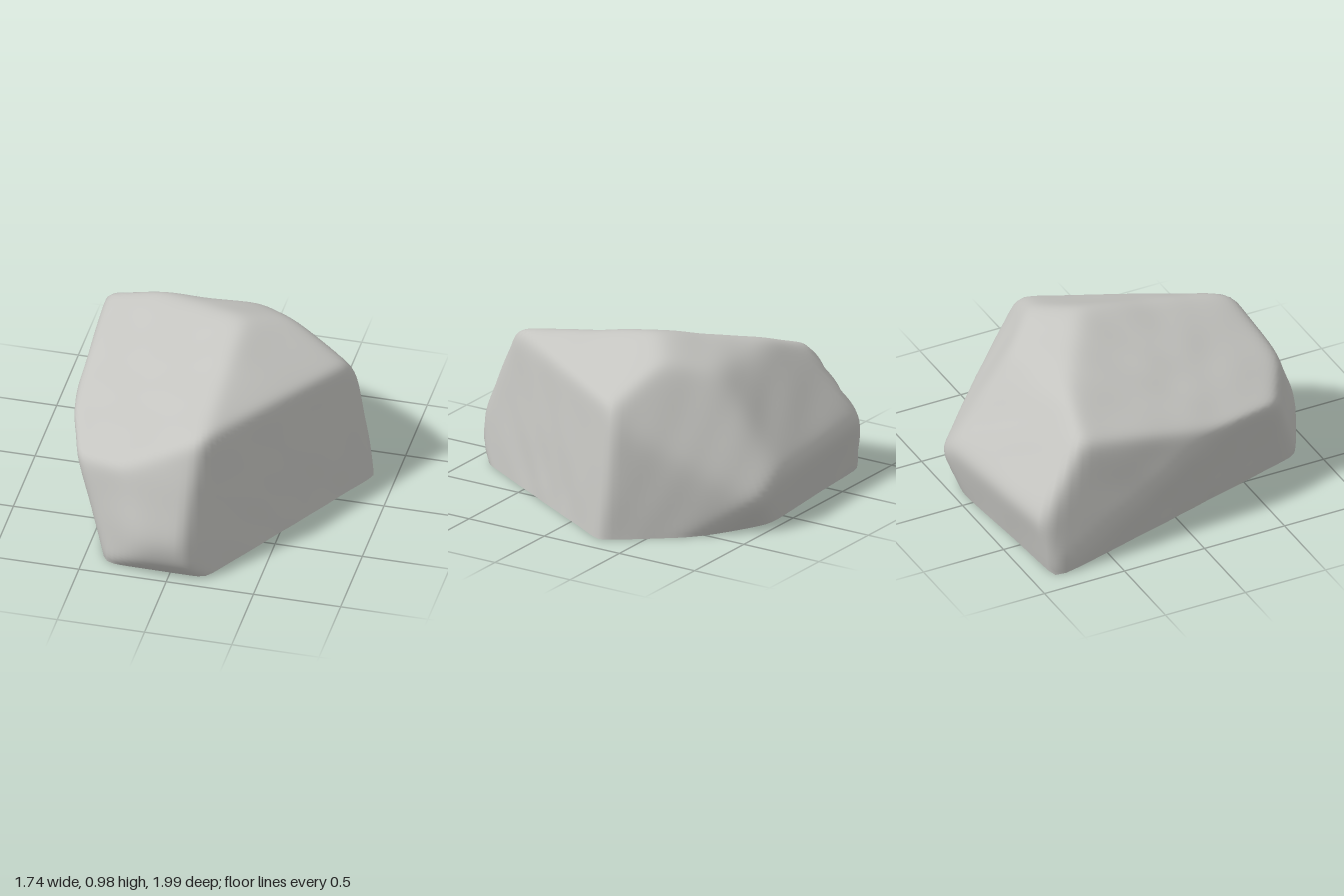
import * as THREE from 'three';
import { mergeVertices } from 'three/addons/utils/BufferGeometryUtils.js';

// Facets of the boulder: plane nx*x + ny*y + nz*z = d
const FACETS = [
  [0.87, 0.15, 0.5, 0.63],     // broad front cut on the +x side
  [-0.4, 1, 0.2, 0.91],        // sloping front top
  [0, 1, -0.4, 1.08],          // crown, falling to the back
  [0.45, 1, 0.2, 1.03],        // crown, falling to +x
  [-0.05, 0.74, -1, 1.22],     // back slope
  [-0.08, -0.2, -1, 0.935],    // lower back
  [0.55, 0.6, -0.8, 1.08],     // back corner, upper slope
  [0.8, 0.1, -0.61, 0.885],    // back corner, steep part
  [0.5, -0.6, -0.86, 0.895],   // back corner undercut
  [-1, 0.18, 0.05, 0.845],     // -x side
  [-1, -0.28, 0.29, 0.645],    // overhanging front cut on the -x side
  [-0.55, 0.15, 0.84, 0.965],  // rounded nose
  [0, 0.45, 1, 1.12],
  [0, -0.2, 1, 0.97],
  [0, -1, 1, 0.91],            // bevel under the nose
];
const SHARPNESS = 40;

// Distance from the centre of the base to the softened facets, with slight weathering
function radius(v) {
  let sum = 0;
  for (const [a, b, c, d] of FACETS) {
    const t = (a * v.x + b * v.y + c * v.z) / d;
    if (t > 0) sum += Math.pow(t, SHARPNESS);
  }
  const bumps = Math.sin(11 * v.x + 4 * v.y) * Math.sin(9 * v.y - 5 * v.z + 1) +
    0.6 * Math.sin(17 * v.z + 6 * v.x) * Math.sin(14 * v.y + 8 * v.x);
  return Math.pow(sum, -1 / SHARPNESS) * (1 + 0.003 * bumps);
}

// Push every direction of a unit shape out to the rock surface
function shapeRock(geometry) {
  const p = geometry.attributes.position;
  const v = new THREE.Vector3();
  for (let i = 0; i < p.count; i++) {
    v.fromBufferAttribute(p, i);
    if (v.length() < 0.5) continue; // centre of the underside stays put
    v.normalize();
    v.multiplyScalar(radius(v));
    p.setXYZ(i, v.x, v.y, v.z);
  }
  geometry.deleteAttribute('uv');
  geometry.deleteAttribute('normal');
  const merged = mergeVertices(geometry, 1e-5);
  merged.computeVertexNormals();
  return merged;
}

export function createModel() {
  const group = new THREE.Group();
  group.name = 'boulder';
  const stone = new THREE.MeshStandardMaterial({ color: 0xc4c4c0 });
  stone.name = 'grey stone';

  const dome = new THREE.SphereGeometry(1, 144, 72, 0, Math.PI * 2, 0, Math.PI / 2);
  const body = new THREE.Mesh(shapeRock(dome), stone);
  body.name = 'rockBody';

  const disc = new THREE.CircleGeometry(1, 144).rotateX(Math.PI / 2);
  const underside = new THREE.Mesh(shapeRock(disc), stone);
  underside.name = 'flatUnderside';

  group.add(body, underside);
  return group;
}
